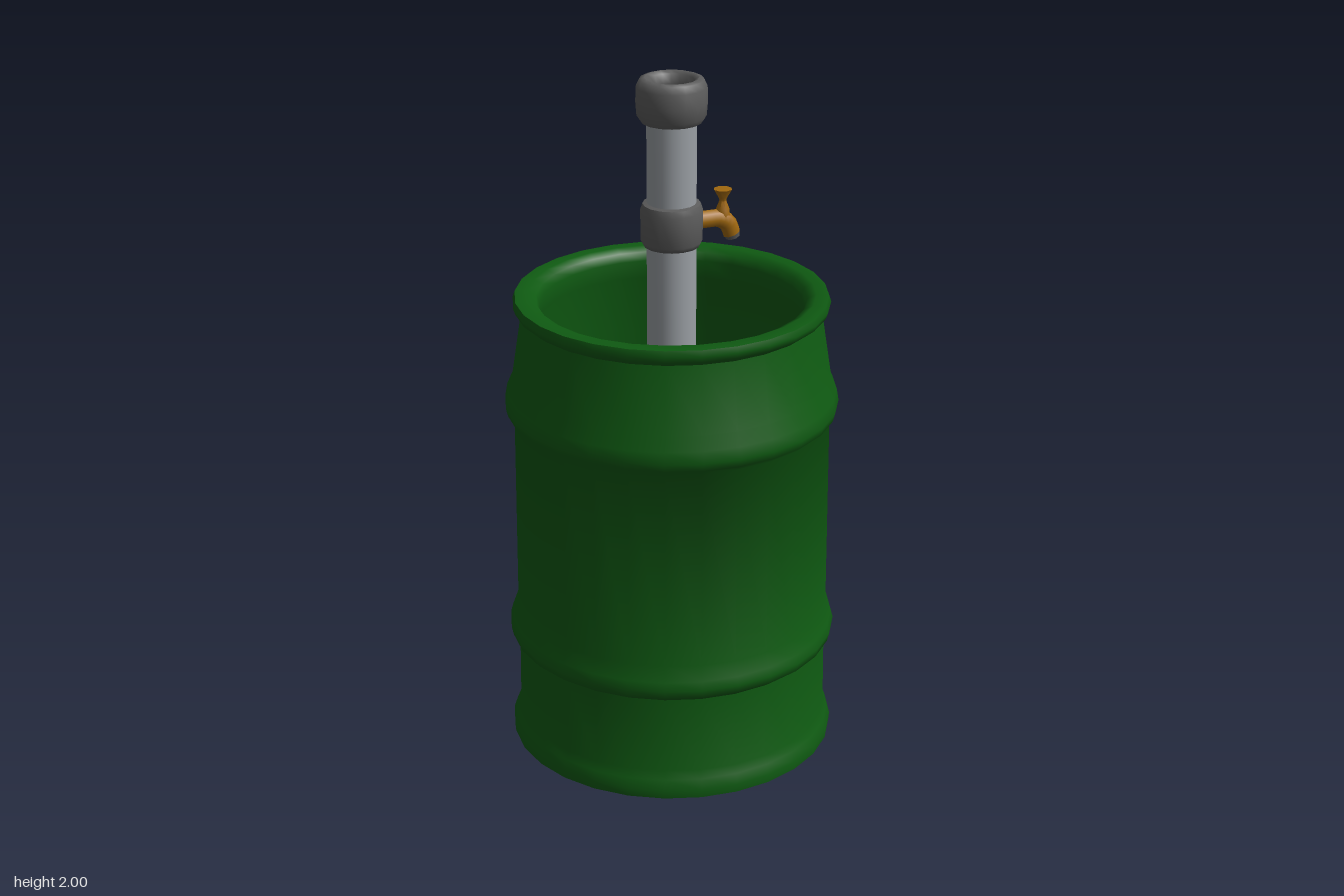
import * as THREE from 'three';
import { toCreasedNormals } from 'three/addons/utils/BufferGeometryUtils.js';

const mat = (name, color) => {
  const m = new THREE.MeshStandardMaterial({ color });
  m.name = name;
  return m;
};

export function createModel() {
  const green = mat('barrel green', 0x0f5a12);
  const steel = mat('pipe grey', 0x9a9fa4);
  const iron = mat('fitting grey', 0x5c5c5c);
  const brass = mat('tap brass', 0xa0680f);

  const model = new THREE.Group();
  model.name = 'barrelWithTap';

  const add = (name, geometry, material, parent = model) => {
    const mesh = new THREE.Mesh(geometry, material);
    mesh.name = name;
    parent.add(mesh);
    return mesh;
  };
  // Turned part from [radius, height] pairs, outside upwards then inside downwards
  const turned = (name, profile, sides, material, parent) => add(name, toCreasedNormals(
    new THREE.LatheGeometry(profile.map(([r, y]) => new THREE.Vector2(r, y)), sides), 0.9), material, parent);

  // Open barrel with flared foot, two hoops and a rolled rim
  const floor = 0.04;
  turned('barrel', [
    [0, 0], [0.475, 0], [0.477, 0.025], [0.467, 0.055], [0.456, 0.08],
    [0.454, 0.31], [0.474, 0.325], [0.48, 0.35], [0.473, 0.375], [0.457, 0.42],
    [0.455, 1.01], [0.474, 1.027], [0.48, 1.05], [0.474, 1.085], [0.457, 1.125],
    [0.427, 1.32], [0.446, 1.335], [0.452, 1.352], [0.446, 1.37],
    [0.41, 1.372], [0.385, 1.36], [0.377, 1.335],
    [0.385, 1.28], [0.42, 1.1], [0.42, floor], [0, floor],
  ], 28, green);

  // Hollow standpipe resting on the barrel floor
  turned('pipe', [
    [0.07, floor], [0.07, 1.96], [0.058, 1.96], [0.058, floor + 0.005], [0.044, floor + 0.005],
  ], 16, steel);

  // Ring fittings around the pipe
  turned('topCollar', [
    [0.068, 1.875], [0.086, 1.876], [0.097, 1.892], [0.1, 1.93], [0.099, 1.975],
    [0.09, 1.995], [0.076, 2], [0.063, 1.992], [0.057, 1.965], [0.057, 1.95],
  ], 16, iron);
  turned('middleCollar', [
    [0.068, 1.512], [0.08, 1.516], [0.087, 1.53], [0.088, 1.62], [0.082, 1.638], [0.068, 1.642],
  ], 16, iron);

  // Tap on the model's left side
  const tap = new THREE.Group();
  tap.name = 'tap';
  model.add(tap);
  const path = new THREE.CatmullRomCurve3([
    [0.07, 1.576], [0.11, 1.576], [0.145, 1.574], [0.172, 1.557], [0.185, 1.526],
  ].map(([x, y]) => new THREE.Vector3(x, y, 0)));
  add('spout', new THREE.TubeGeometry(path, 10, 0.026, 8), brass, tap);
  const outlet = add('outlet', new THREE.CylinderGeometry(0.025, 0.021, 0.016, 8), iron, tap);
  outlet.position.set(0.187, 1.521, 0);
  outlet.rotation.z = 0.35;
  turned('handle', [
    [0, 1.575], [0.022, 1.58], [0.02, 1.6], [0.01, 1.625], [0.013, 1.635], [0.027, 1.659], [0, 1.661],
  ], 8, brass, tap).position.x = 0.157;

  return model;
}
